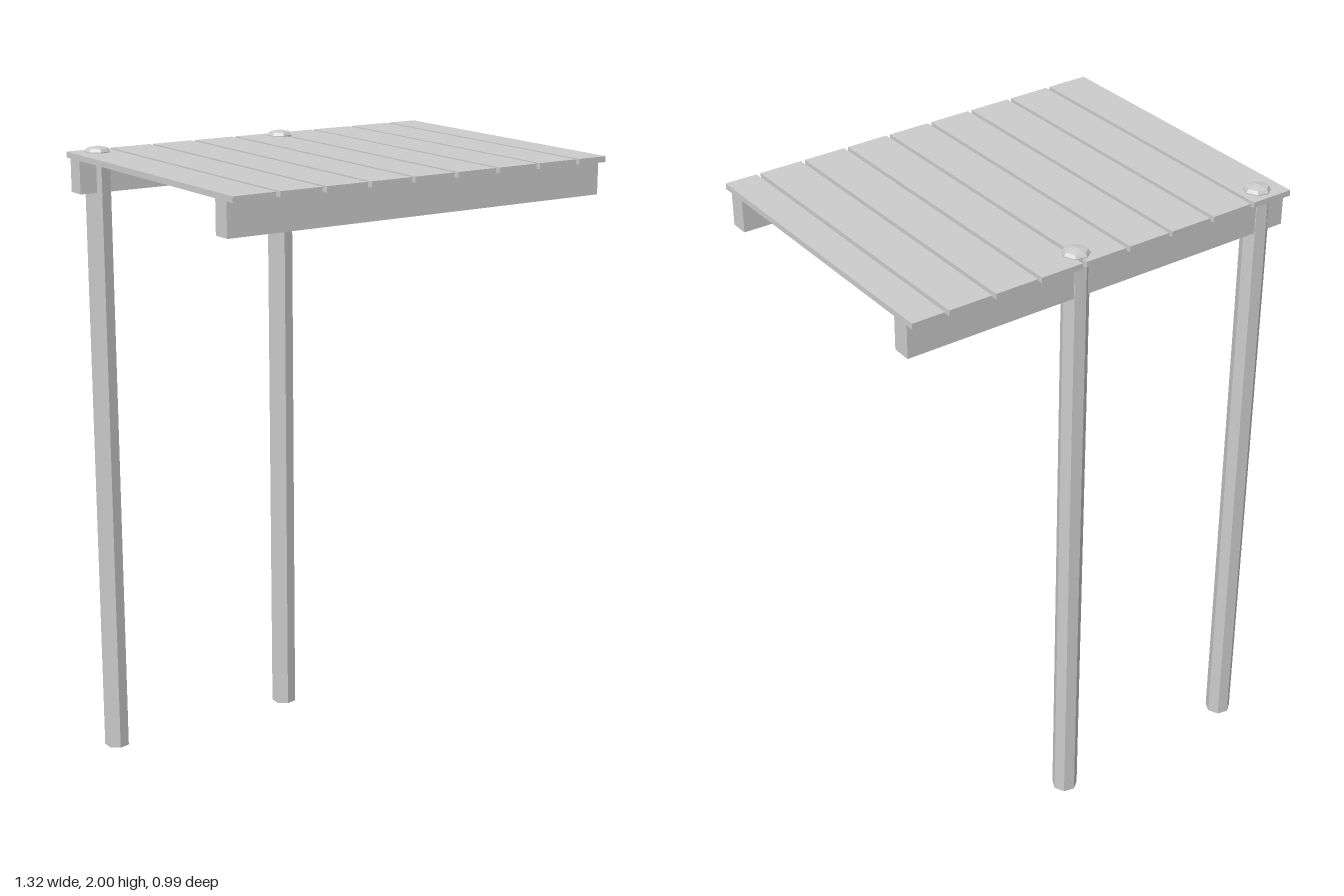
import * as THREE from 'three';

export function createModel() {
  const model = new THREE.Group();
  model.name = 'plankPlatform';
  const grey = new THREE.MeshStandardMaterial({ color: 0xcccccc, flatShading: true });
  grey.name = 'pale grey';

  // Box given by its minimum and maximum corners
  const box = (name, [x0, y0, z0], [x1, y1, z1]) => {
    const mesh = new THREE.Mesh(new THREE.BoxGeometry(x1 - x0, y1 - y0, z1 - z0), grey);
    mesh.position.set((x0 + x1) / 2, (y0 + y1) / 2, (z0 + z1) / 2);
    mesh.name = name;
    model.add(mesh);
  };

  const left = -0.659, right = 0.657;
  const beamTop = 1.963, deckTop = 1.981;

  // Deck planks, the last one cut short at the edge
  const pitch = 0.1516, plankWidth = 0.138;
  for (let i = 0; i < 9; i++) {
    const x = left + i * pitch;
    box(`plank${i + 1}`, [x, beamTop, -0.496], [Math.min(x + plankWidth, right), deckTop, 0.496]);
  }

  // Beams under the front and back edges
  box('frontBeam', [left, 1.86, 0.403], [right, beamTop, 0.463]);
  box('backBeam', [left, 1.86, -0.469], [right, beamTop, -0.409]);

  // Seven-sided posts with low domed tops, standing through the back beam
  const profile = [[0, 0], [0.041, 0], [0.041, 1.984], [0.034, 1.993], [0, 2]]
    .map(([r, y]) => new THREE.Vector2(r, y));
  const postGeometry = new THREE.LatheGeometry(profile, 7, Math.PI / 2);
  for (const [name, x] of [['rightPost', -0.581], ['leftPost', 0.08]]) {
    const post = new THREE.Mesh(postGeometry, grey);
    post.position.set(x, 0, -0.439);
    post.name = name;
    model.add(post);
  }

  return model;
}
